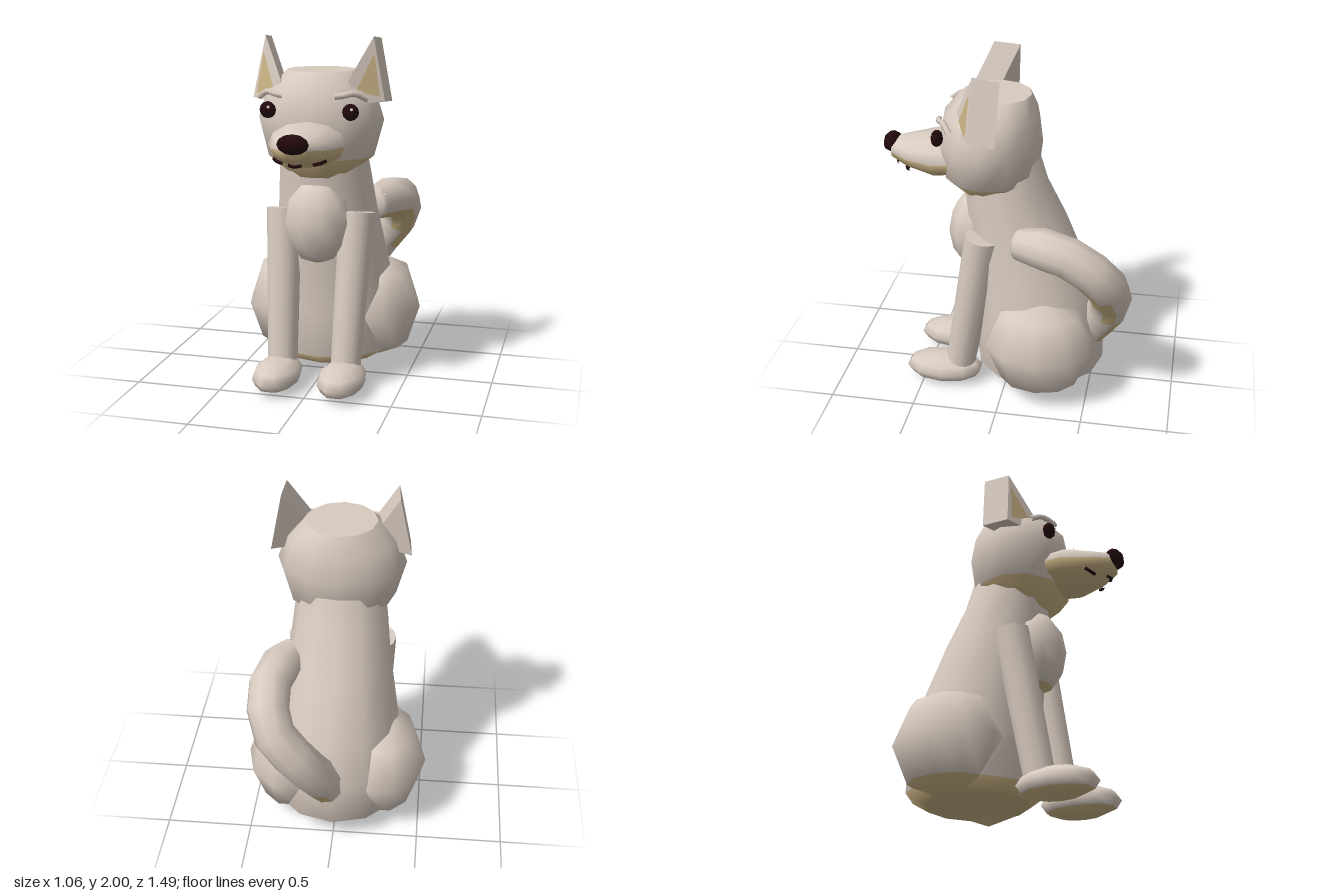
import * as THREE from 'three';
import { ConvexGeometry } from 'three/addons/geometries/ConvexGeometry.js';

export function createModel() {
  const root = new THREE.Group();
  const material = (name, color) => {
    const m = new THREE.MeshStandardMaterial({ color });
    m.name = name;
    return m;
  };
  const cream = material('cream coat', 0xd8cbc0);
  const tan = material('tan underside', 0xcab384);
  const dark = material('dark nose', 0x22090c);
  const white = material('eye glint', 0xf2eeee);
  const claw = material('claw', 0x7d7066);
  tan.side = THREE.DoubleSide;

  const add = (name, geo, mat, x = 0, y = 0, z = 0) => {
    const mesh = new THREE.Mesh(geo, mat);
    mesh.name = name;
    mesh.position.set(x, y, z);
    root.add(mesh);
    return mesh;
  };

  // Sort faces into cream and tan groups by a test on face centre and normal
  function paint(geo, isTan) {
    const lists = [[], []];
    const pos = geo.attributes.position;
    const tri = new THREE.Triangle(), mid = new THREE.Vector3(), normal = new THREE.Vector3();
    const idx = geo.index.array;
    for (let i = 0; i < idx.length; i += 3) {
      tri.setFromAttributeAndIndices(pos, idx[i], idx[i + 1], idx[i + 2]);
      tri.getMidpoint(mid);
      tri.getNormal(normal);
      lists[isTan(mid, normal) ? 1 : 0].push(idx[i], idx[i + 1], idx[i + 2]);
    }
    geo.setIndex(lists.flat());
    geo.clearGroups();
    geo.addGroup(0, lists[0].length, 0);
    geo.addGroup(lists[0].length, lists[1].length, 1);
    return geo;
  }

  // Loft of elliptical rings [height, centre z, radius x, radius z], bottom to top.
  // A ring listed twice makes a hard edge.
  function loft(rings, sides) {
    const pos = [], idx = [];
    rings.forEach(([y, cz, rx, rz], i) => {
      for (let j = 0; j < sides; j++) {
        const a = (j / sides) * Math.PI * 2;
        pos.push(Math.cos(a) * rx, y, cz + Math.sin(a) * rz);
      }
      if (!i || String(rings[i - 1]) === String(rings[i])) return;
      for (let j = 0; j < sides; j++) {
        const k = (j + 1) % sides, lo = (i - 1) * sides, hi = i * sides;
        if (rings[i - 1][2] > 0) idx.push(lo + j, hi + j, lo + k);
        if (rx > 0) idx.push(lo + k, hi + j, hi + k);
      }
    });
    const geo = new THREE.BufferGeometry();
    geo.setAttribute('position', new THREE.Float32BufferAttribute(pos, 3));
    geo.setIndex(idx);
    geo.computeVertexNormals();
    return geo;
  }

  const ellipsoid = (rx, ry, rz, w, h) => new THREE.SphereGeometry(1, w, h).scale(rx, ry, rz);
  const tube = (points, radius, steps, sides) => new THREE.TubeGeometry(
    new THREE.CatmullRomCurve3(points.map(p => new THREE.Vector3(...p))), steps, radius, sides);

  // Sitting body, tapering to the neck
  const base = [0.08, -0.17, 0.29, 0.3];
  const body = loft([
    [0.08, -0.17, 0, 0], base, base,
    [0.14, -0.185, 0.39, 0.385], [0.4, -0.185, 0.39, 0.385], [0.66, -0.14, 0.355, 0.36],
    [1.02, -0.05, 0.295, 0.3], [1.25, 0.02, 0.27, 0.25], [1.45, 0.06, 0.24, 0.23],
  ], 12);
  add('body', paint(body, c => c.y < 0.13), [cream, tan]);

  // Head with a flat crown and tan jaw
  const crown = [1.81, 0.08, 0.2, 0.2];
  const head = loft([
    [1.2, 0.12, 0, 0], [1.2, 0.12, 0.14, 0.13], [1.335, 0.11, 0.31, 0.27],
    [1.54, 0.11, 0.365, 0.295], [1.7, 0.105, 0.315, 0.27], crown, crown, [1.81, 0.08, 0, 0],
  ], 12);
  add('head', paint(head, c => c.y < 1.33), [cream, tan]);

  // Muzzle, lofted forward along z
  const muzzle = loft([
    [0.25, -1.43, 0.19, 0.11], [0.43, -1.43, 0.215, 0.125], [0.58, -1.43, 0.155, 0.09],
    [0.68, -1.44, 0.085, 0.06], [0.7, -1.44, 0, 0],
  ], 12).rotateX(Math.PI / 2);
  add('muzzle', paint(muzzle, (c, n) => n.y < 0), [cream, tan]);
  add('nose', ellipsoid(0.088, 0.055, 0.052, 8, 6), dark, 0, 1.472, 0.69);
  add('mouthCentre', tube([[-0.035, 1.355, 0.645], [0, 1.35, 0.665], [0.035, 1.355, 0.645]], 0.009, 4, 5), dark);

  // Chest tuft
  const tuft = ellipsoid(0.195, 0.245, 0.165, 10, 6);
  add('chestTuft', paint(tuft, c => c.y < -0.2), [cream, tan], 0, 0.955, 0.2);

  // Tail curling from the rump round the left side, thinner at the tip
  const tail = tube([
    [0.02, 0.33, -0.45], [0.15, 0.6, -0.61], [0.33, 0.84, -0.59], [0.36, 1.01, -0.37], [0.27, 1.015, -0.1],
  ], 0.12, 8, 10);
  const tip = new THREE.Vector3(0.27, 1.015, -0.1);
  const p = new THREE.Vector3();
  for (let i = 0; i < tail.attributes.position.count; i++) {
    p.fromBufferAttribute(tail.attributes.position, i);
    if (p.distanceTo(tip) < 0.15) p.lerp(tip, 0.2);
    tail.attributes.position.setXYZ(i, p.x, p.y, p.z);
  }
  add('tail', paint(tail, (c, n) => n.y < -0.55), [cream, tan]);
  add('tailTip', ellipsoid(0.094, 0.094, 0.04, 10, 6), cream, tip.x, tip.y, tip.z).rotation.y = -0.3;

  for (const s of [-1, 1]) {
    const side = s > 0 ? 'left' : 'right';

    // Haunch
    const haunch = ellipsoid(0.25, 0.32, 0.325, 10, 4);
    add(side + 'Haunch', paint(haunch, c => c.y < -0.23), [cream, tan], s * 0.28, 0.365, -0.22);

    // Front leg, leaning forward to the paw
    const top = new THREE.Vector3(s * 0.215, 1.01, 0.125);
    const foot = new THREE.Vector3(s * 0.187, 0.1, 0.28);
    const axis = top.clone().sub(foot);
    const leg = add(side + 'FrontLeg', new THREE.CylinderGeometry(0.104, 0.088, axis.length(), 12), cream);
    leg.position.copy(top).add(foot).multiplyScalar(0.5);
    leg.quaternion.setFromUnitVectors(new THREE.Vector3(0, 1, 0), axis.normalize());

    // Paw with three claws
    const paw = ellipsoid(0.137, 0.09, 0.235, 10, 6);
    add(side + 'Paw', paint(paw, c => c.y < -0.04), [cream, tan], s * 0.19, 0.09, 0.375);
    [-0.06, 0, 0.06].forEach(dx => {
      const c = add(side + 'Claw', new THREE.ConeGeometry(0.009, 0.03, 5), claw,
        s * 0.19 + dx, 0.128, 0.545 - Math.abs(dx) * 0.6);
      c.rotation.x = 1.1;
    });

    // Ear: slanted prism with a tan inner plate
    const faceZ = (x, y) => 0.15 - 0.573 * (x - 0.31) - 0.172 * (y - 2);
    const outline = [[0.31, 2], [0.19, 1.76], [0.27, 1.64], [0.38, 1.65]];
    const corners = [];
    for (const [x, y] of outline) {
      const z = faceZ(x, y);
      corners.push(new THREE.Vector3(s * x, y, z), new THREE.Vector3(s * (x + 0.012), y - 0.015, z - 0.15));
    }
    add(side + 'Ear', new ConvexGeometry(corners), cream);
    const inner = [[0.318, 1.91], [0.235, 1.71], [0.355, 1.675]]
      .map(([x, y]) => new THREE.Vector3(s * x, y, faceZ(x, y) + 0.006));
    if (s < 0) inner.reverse();
    const plate = new THREE.BufferGeometry().setFromPoints(inner);
    plate.computeVertexNormals();
    add(side + 'InnerEar', plate, tan);

    // Eye, glint and brow
    add(side + 'Eye', ellipsoid(0.047, 0.047, 0.035, 8, 6), dark, s * 0.233, 1.608, 0.37);
    add(side + 'EyeGlint', ellipsoid(0.009, 0.009, 0.006, 6, 4), white, s * 0.233 + 0.012, 1.626, 0.401);
    add(side + 'Brow', tube([
      [s * 0.305, 1.67, 0.285], [s * 0.245, 1.705, 0.33], [s * 0.19, 1.695, 0.365], [s * 0.145, 1.69, 0.375],
    ], 0.017, 6, 6), cream);

    // Side of the mouth
    add(side + 'Mouth', tube([
      [s * 0.08, 1.352, 0.59], [s * 0.115, 1.358, 0.575], [s * 0.145, 1.37, 0.55],
    ], 0.01, 4, 5), dark);
  }
  return root;
}
